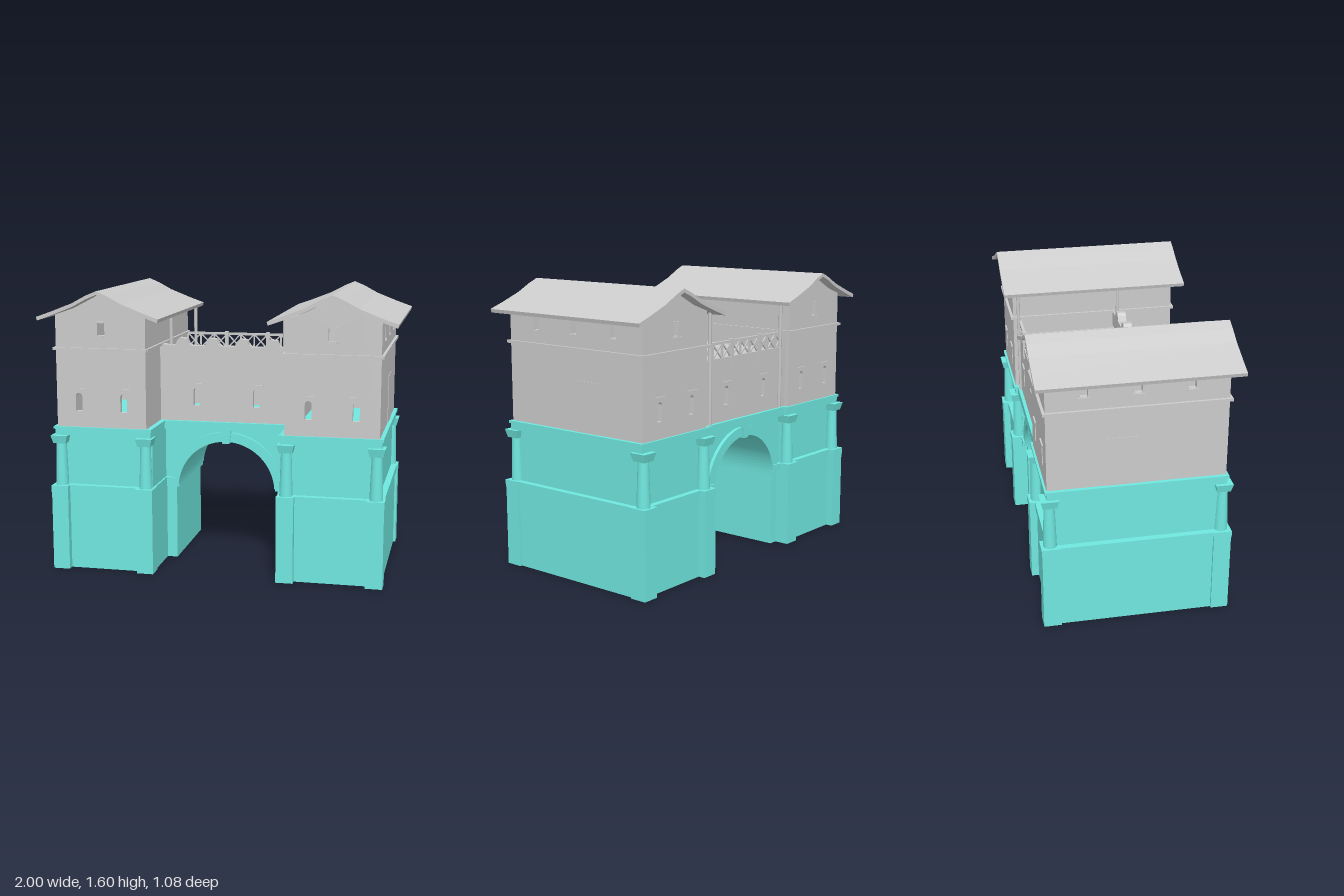
import * as THREE from 'three';

const grey = new THREE.MeshStandardMaterial({ color: 0xcccccc, side: THREE.DoubleSide });
const teal = new THREE.MeshStandardMaterial({ color: 0x70e8e0, side: THREE.DoubleSide });

function add(parent, name, geo, mat, x = 0, y = 0, z = 0) {
  const m = new THREE.Mesh(geo, mat);
  m.name = name;
  m.position.set(x, y, z);
  parent.add(m);
  return m;
}

// Box given by its limits; an open box has no bottom face
function box(parent, name, mat, x0, x1, y0, y1, z0, z1, open = false) {
  const g = new THREE.BoxGeometry(Math.abs(x1 - x0), y1 - y0, z1 - z0);
  if (open) {
    const i = Array.from(g.index.array);
    i.splice(18, 6);
    g.setIndex(i);
    g.clearGroups();
  }
  return add(parent, name, g, mat, (x0 + x1) / 2, (y0 + y1) / 2, (z0 + z1) / 2);
}

const shapeOf = pts => new THREE.Shape(pts.map(p => new THREE.Vector2(...p)));
const rectHole = (x, y0, y1, w) => new THREE.Path([[x - w / 2, y0], [x - w / 2, y1], [x + w / 2, y1], [x + w / 2, y0]]
  .map(p => new THREE.Vector2(...p)));

// Round-headed slit window
function slitHole(x, y0 = 0.92, w = 0.038, h = 0.085) {
  const p = new THREE.Path();
  p.moveTo(x - w / 2, y0);
  p.lineTo(x - w / 2, y0 + h);
  p.absarc(x, y0 + h, w / 2, Math.PI, 0, true);
  p.lineTo(x + w / 2, y0);
  p.closePath();
  return p;
}

function extrude(shape, depth, holes = []) {
  shape.holes.push(...holes);
  return new THREE.ExtrudeGeometry(shape, { depth, bevelEnabled: false, curveSegments: 24 });
}

function createTower(s) {
  const t = new THREE.Group();
  t.name = s > 0 ? 'leftTower' : 'rightTower';
  const cx = s * 0.65;
  const b = (name, mat, x0, x1, ...rest) => box(t, name, mat, s * x0, s * x1, ...rest);

  // Stone base, hollow from below
  b('baseWall', teal, 0.36, 0.93, 0, 0.45, -0.475, 0.475, true);
  b('baseBand', teal, 0.355, 0.94, 0.45, 0.49, -0.485, 0.485, true);
  b('upperBaseWall', teal, 0.365, 0.905, 0.49, 0.78, -0.45, 0.45, true);
  b('cornice', teal, 0.365, 0.925, 0.78, 0.815, -0.483, 0.483);
  b('corniceLip', teal, 0.36, 0.932, 0.815, 0.83, -0.492, 0.492);

  // Pedestals, columns and flared capitals
  for (const x of [0.4, 0.896]) for (const z of [-0.467, 0.467]) {
    b('pedestal', teal, x - 0.048, x + 0.048, 0, 0.45, z - 0.048, z + 0.048, true);
    b('pedestalCap', teal, x - 0.05, x + 0.05, 0.45, 0.49, z - 0.051, z + 0.051);
    add(t, 'column', new THREE.CylinderGeometry(0.029, 0.037, 0.25, 24), teal, s * x, 0.615, z);
    const cap = new THREE.CylinderGeometry(0.068, 0.052, 0.045, 4).rotateY(Math.PI / 4).toNonIndexed();
    cap.computeVertexNormals();
    add(t, 'capital', cap, teal, s * x, 0.757, z);
  }

  // Gabled end walls with slits and a gable window
  const gable = [[-0.26, 0.83], [0.26, 0.83], [0.26, 1.462], [0.15, 1.5], [0, 1.578], [-0.15, 1.5], [-0.26, 1.462]];
  for (const z of [0.45, -0.48]) {
    add(t, 'gableWall', extrude(shapeOf(gable), 0.03,
      [slitHole(-0.13), slitHole(0.13), rectHole(-0.005 * s, 1.35, 1.42, 0.042)]), grey, cx, 0, z);
    const f = Math.sign(z) * 0.482;
    for (const dx of [-0.13, 0.13])
      box(t, 'slitLintel', grey, cx + dx - 0.04, cx + dx + 0.04, 1.046, 1.052, f - 0.006, f + 0.006);
    for (const y of [1.342, 1.424])
      box(t, 'gableWindowFrame', grey, cx - 0.035, cx + 0.025, y - 0.004, y + 0.004, f - 0.006, f + 0.006);
  }

  // Side walls; the outer one has three small windows and a door
  const side = [[-0.45, 0.83], [0.45, 0.83], [0.45, 1.462], [-0.45, 1.462]];
  const windows = [-0.28, 0, 0.28];
  const outer = add(t, 'outerWall', extrude(shapeOf(side), 0.03,
    windows.map(z => rectHole(z, 1.35, 1.415, 0.04))), grey, s * 0.895 - 0.015, 0, 0);
  outer.rotation.y = Math.PI / 2;
  b('innerWall', grey, 0.39, 0.42, 0.83, 1.462, -0.45, 0.45);
  for (const z of windows)
    b('sideWindowSill', grey, 0.905, 0.917, 1.34, 1.348, z - 0.03, z + 0.03);
  b('door', grey, 0.9, 0.913, 0.83, 1.105, -0.175, 0.003);

  // String course, four strips round the tower
  for (const z of [-0.485, 0.485]) b('stringCourse', grey, 0.38, 0.925, 1.264, 1.28, z - 0.01, z + 0.01);
  for (const x of [0.387, 0.915]) b('stringCourse', grey, x - 0.01, x + 0.01, 1.264, 1.28, -0.48, 0.48);

  // Roof with gently flared eaves
  const slope = [[0.35, 1.453], [0.26, 1.485], [0.14, 1.532], [0.06, 1.575], [0, 1.6]];
  const top = [...slope, ...slope.slice(0, -1).reverse().map(([x, y]) => [-x, y])];
  const under = top.map(([x, y]) => [x * 0.985, y - 0.02]).reverse();
  add(t, 'roof', extrude(shapeOf([...top, ...under]), 1.075), grey, cx, 0, -0.537);

  // Posts under the inner eave
  add(t, 'eavePost', new THREE.CylinderGeometry(0.01, 0.01, 0.62, 10), grey, s * 0.332, 1.14, -0.455);
  add(t, 'eavePost', new THREE.CylinderGeometry(0.01, 0.01, 0.29, 10), grey, s * 0.332, 1.305, 0.14);
  return t;
}

function createGateway() {
  const g = new THREE.Group();
  g.name = 'gateway';
  const cy = 0.43, r = 0.285;

  // Vaulted passage
  const arch = new THREE.Shape();
  arch.moveTo(-0.37, 0);
  arch.lineTo(-0.3, 0);
  arch.lineTo(-0.3, cy);
  arch.lineTo(-r, cy);
  arch.absarc(0, cy, r, Math.PI, 0, true);
  arch.lineTo(0.3, cy);
  arch.lineTo(0.3, 0);
  arch.lineTo(0.37, 0);
  arch.lineTo(0.37, 0.78);
  arch.lineTo(-0.37, 0.78);
  arch.closePath();
  add(g, 'passage', extrude(arch, 0.59), teal, 0, 0, -0.43);

  // Arch rings, keystones and imposts on both faces
  for (const z of [0.15, -0.45]) {
    const ring = new THREE.Shape();
    ring.absarc(0, cy, 0.34, 0.1, Math.PI - 0.1, false);
    ring.absarc(0, cy, r, Math.PI - 0.1, 0.1, true);
    ring.closePath();
    add(g, 'archRing', extrude(ring, 0.03), teal, 0, 0, z);
    add(g, 'keystone', extrude(shapeOf([[-0.02, 0.705], [0.02, 0.705], [0.03, 0.78], [-0.03, 0.78]]), 0.05), teal, 0, 0, z - 0.01);
    for (const s of [-1, 1])
      box(g, 'impost', teal, s * 0.285, s * 0.365, 0.45, 0.49, z - 0.01, z + 0.035);
  }
  box(g, 'gatewayCornice', teal, -0.38, 0.38, 0.78, 0.83, -0.47, 0.19);

  // Upper walls with slits and lintels
  const wall = [[-0.4, 0.83], [0.4, 0.83], [0.4, 1.18], [-0.4, 1.18]];
  for (const z of [0.14, -0.45]) {
    add(g, 'galleryWall', extrude(shapeOf(wall), 0.03, [slitHole(-0.175), slitHole(0.175)]), grey, 0, 0, z);
    const f = z > 0 ? 0.172 : -0.452;
    for (const x of [-0.175, 0.175])
      box(g, 'slitLintel', grey, x - 0.04, x + 0.04, 1.046, 1.052, f - 0.006, f + 0.006);
  }
  box(g, 'walkway', grey, -0.4, 0.4, 1.14, 1.165, -0.45, 0.15);

  // Parapet with worn merlons
  const crest = [[-0.4, 1.18], [0.4, 1.18], [0.4, 1.275]];
  for (const x of [0.265, 0.09, -0.085, -0.26])
    crest.push([x + 0.055, 1.268], [x + 0.04, 1.28], [x + 0.028, 1.308], [x - 0.012, 1.313], [x - 0.028, 1.298], [x - 0.042, 1.268]);
  crest.push([-0.4, 1.275]);
  add(g, 'parapet', extrude(shapeOf(crest), 0.05), grey, 0, 0, 0.123);
  return g;
}

// Lattice railing along the back of the walkway
function createRailing() {
  const g = new THREE.Group();
  g.name = 'railing';
  const y0 = 1.18, y1 = 1.27, z = -0.445, bays = 9, w = 0.76 / bays;
  for (const y of [y0, y1]) box(g, 'rail', grey, -0.39, 0.39, y - 0.007, y + 0.007, z - 0.008, z + 0.008);
  for (let i = 0; i <= bays; i++) {
    const x = -0.38 + i * w;
    box(g, 'baluster', grey, x - 0.005, x + 0.005, y0, y1, z - 0.005, z + 0.005);
    if (i === bays) break;
    for (const s of [-1, 1]) {
      const bar = add(g, 'crossBar', new THREE.BoxGeometry(Math.hypot(w, y1 - y0), 0.008, 0.007), grey, x + w / 2, (y0 + y1) / 2, z);
      bar.rotation.z = s * Math.atan2(y1 - y0, w);
    }
  }
  for (const x of [-0.13, 0.13]) box(g, 'railPost', grey, x - 0.01, x + 0.01, 1.12, 1.285, z - 0.014, z + 0.014);
  return g;
}

export function createModel() {
  const model = new THREE.Group();
  model.name = 'gatehouse';
  model.add(createTower(1), createTower(-1), createGateway(), createRailing());
  return model;
}
